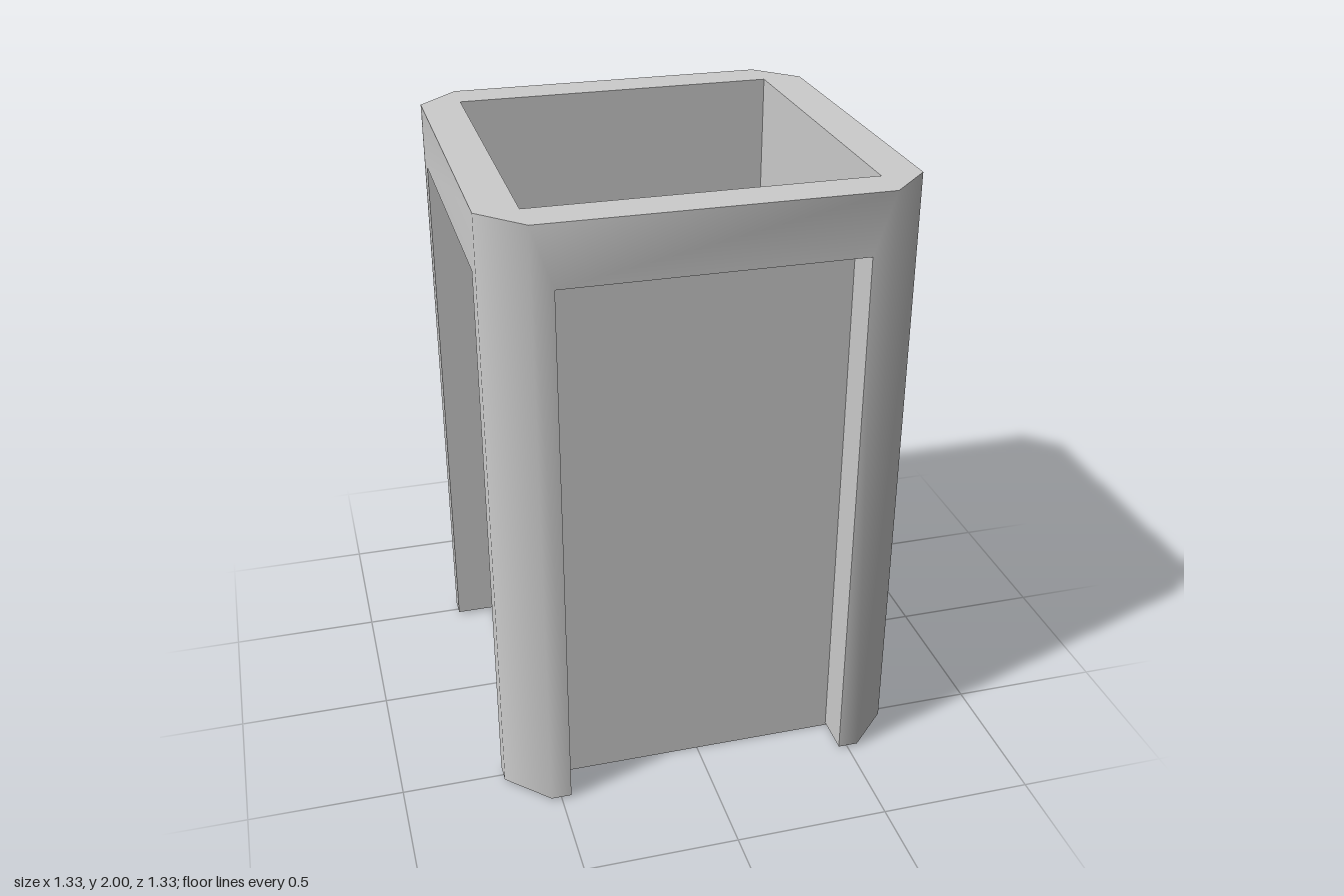
import * as THREE from 'three';
import { mergeGeometries, toCreasedNormals } from 'three/addons/utils/BufferGeometryUtils.js';

const OUT = 0.666;   // outer half width
const IN = 0.534;    // inner half width, also where the chamfers start
const OPEN = 0.468;  // half width of the side openings
const FOOT = 0.008, HEAD = 1.804, TOP = 2;

const toShape = pts => new THREE.Shape(pts.map(p => new THREE.Vector2(p[0], p[1])));

// four corners, counter-clockwise seen from the front of the face
function quad(a, b, c, d) {
  const g = new THREE.BufferGeometry();
  g.setAttribute('position', new THREE.Float32BufferAttribute([a, b, c, a, c, d].flat(), 3));
  return g;
}

function bare(g) {
  const n = g.index ? g.toNonIndexed() : g;
  n.deleteAttribute('uv');
  n.deleteAttribute('normal');
  return n;
}

function frameGeometry() {
  const parts = [];
  for (let i = 0; i < 4; i++) {
    // outer face with an opening that runs down to the floor
    const face = new THREE.ShapeGeometry(toShape([
      [-IN, FOOT], [-OPEN, FOOT], [-OPEN, HEAD], [OPEN, HEAD],
      [OPEN, FOOT], [IN, FOOT], [IN, TOP], [-IN, TOP]]));
    face.translate(0, 0, OUT);
    // underside of the corner post
    const foot = new THREE.ShapeGeometry(toShape([
      [OPEN, OUT], [IN, OUT], [OUT, IN], [OUT, OPEN], [IN, OPEN], [IN, IN], [OPEN, IN]]));
    foot.rotateX(Math.PI / 2).translate(0, FOOT, 0);
    const side = [
      face, foot,
      // chamfered corner
      quad([IN, FOOT, OUT], [OUT, FOOT, IN], [OUT, TOP, IN], [IN, TOP, OUT]),
      // reveals of the opening
      quad([-OPEN, FOOT, OUT], [-OPEN, FOOT, IN], [-OPEN, HEAD, IN], [-OPEN, HEAD, OUT]),
      quad([OPEN, FOOT, IN], [OPEN, FOOT, OUT], [OPEN, HEAD, OUT], [OPEN, HEAD, IN]),
      quad([-OPEN, HEAD, IN], [OPEN, HEAD, IN], [OPEN, HEAD, OUT], [-OPEN, HEAD, OUT]),
      // inside of the header
      quad([IN, HEAD, IN], [-IN, HEAD, IN], [-IN, TOP, IN], [IN, TOP, IN]),
    ];
    side.forEach(g => parts.push(bare(g).rotateY(i * Math.PI / 2)));
  }
  // top rim
  const rim = toShape([[IN, -OUT], [OUT, -IN], [OUT, IN], [IN, OUT],
    [-IN, OUT], [-OUT, IN], [-OUT, -IN], [-IN, -OUT]]);
  rim.holes.push(toShape([[-IN, -IN], [-IN, IN], [IN, IN], [IN, -IN]]));
  parts.push(bare(new THREE.ShapeGeometry(rim).rotateX(-Math.PI / 2).translate(0, TOP, 0)));
  // chamfers blend softly into the faces, square edges stay sharp
  return toCreasedNormals(mergeGeometries(parts), Math.PI * 0.3);
}

export function createModel() {
  const model = new THREE.Group();
  model.name = 'openBin';
  const grey = new THREE.MeshStandardMaterial({ color: 0xcccccc, side: THREE.DoubleSide });
  grey.name = 'lightGrey';

  const frame = new THREE.Mesh(frameGeometry(), grey);
  frame.name = 'frame';
  model.add(frame);

  // recessed side panels, open at top and bottom
  for (let i = 0; i < 4; i++) {
    const g = new THREE.PlaneGeometry(IN * 2, HEAD);
    g.translate(0, HEAD / 2, IN).rotateY(i * Math.PI / 2);
    const panel = new THREE.Mesh(g, grey);
    panel.name = ['frontPanel', 'leftPanel', 'backPanel', 'rightPanel'][i];
    model.add(panel);
  }
  return model;
}
